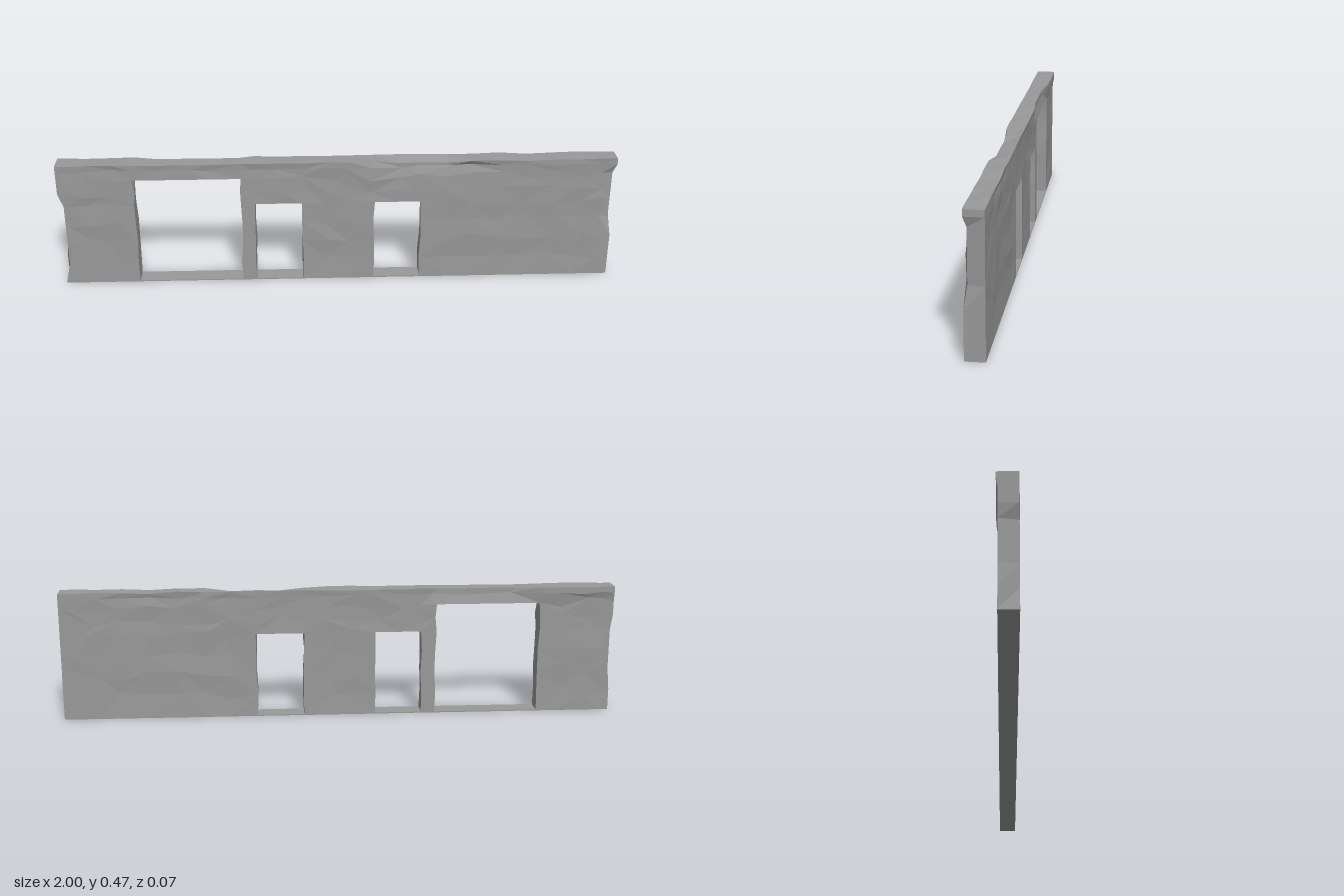
import * as THREE from 'three';

// Grid lines of the wall; openings start and end on them
const XS = [-1, -0.97, -0.9, -0.81, -0.73, -0.64, -0.54, -0.45, -0.35, -0.3, -0.215, -0.13, -0.04, 0.04, 0.13,
  0.215, 0.3, 0.39, 0.48, 0.58, 0.68, 0.78, 0.87, 0.95, 1];
const YS = [0, 0.004, 0.08, 0.16, 0.235, 0.31, 0.36, 0.41, 0.445, 0.47];
const OPENINGS = [
  { x0: -0.73, x1: -0.35, y1: 0.41 }, // wide window
  { x0: -0.3, x1: -0.13, y1: 0.31 },  // doorways
  { x0: 0.13, x1: 0.3, y1: 0.31 },
];
const NX = XS.length - 1, NY = YS.length - 1;

// Repeatable noise from -1 to 1
function noise(i, j, k) {
  const s = Math.sin(i * 127.1 + j * 311.7 + k * 74.7) * 43758.5453;
  return 2 * (s - Math.floor(s)) - 1;
}

function isSolid(i, j) {
  if (i < 0 || j < 0 || i >= NX || j >= NY) return false;
  const x = (XS[i] + XS[i + 1]) / 2, y = (YS[j] + YS[j + 1]) / 2;
  return !OPENINGS.some((o) => x > o.x0 && x < o.x1 && y > 0.004 && y < o.y1);
}

// Vertex of the rough wall; side 1 is the front, -1 the back
function wallPoint(i, j, side) {
  let x = XS[i], y = YS[j], z = side > 0 ? 0.035 : -0.03;
  const n = (k) => noise(i, j, k + side * 10);
  const inside = [[0, 0], [-1, 0], [0, -1], [-1, -1]].every(([a, b]) => isSolid(i + a, j + b));
  if (inside && j > 1) {
    x += 0.02 * n(1) * (i > 1 && i < NX - 1 ? 1 : 0);
    y += (j < 8 ? 0.018 : 0.006) * n(2);
    z -= side * 0.0025 * (n(3) + 0.6);
  } else if (!inside && j > 1 && j < NY && i > 0 && i < NX) {
    x += 0.004 * n(4); // worn jambs
  }
  // uneven top edge
  if (j === NY) {
    y -= 0.004 * Math.abs(n(5));
    if (Math.abs(x - 0.7) < 0.05) y -= 0.006;
    if (side > 0 && x > 0.2 && x < 0.45) y -= 0.009;
  }
  if (j >= NY - 1) {
    if (side > 0 && x > 0.12 && x < 0.47) z = 0.024;
    if (side < 0 && x < -0.65) z = -0.036;
    if (side < 0 && x > -0.65 && x < -0.3) z = -0.022;
  }
  // chipped end corners
  if (side > 0 && i === 0 && j > 1 && j < 6) x += 0.018;
  if (side < 0 && i === 0 && j > 2 && j < 6) x += 0.008;
  if (side > 0 && i === NX && j > 3 && j < 8) { x -= 0.012; z = 0.024; }
  return [x, y, z];
}

function wallGeometry() {
  const pos = [];
  const quad = (a, b, c, d, flip) =>
    (flip ? [a, b, d, b, c, d] : [a, b, c, a, c, d]).forEach((p) => pos.push(...p));
  for (let i = 0; i < NX; i++) {
    for (let j = 0; j < NY; j++) {
      if (!isSolid(i, j)) continue;
      const ring = [[i, j], [i + 1, j], [i + 1, j + 1], [i, j + 1]];
      const f = ring.map(([a, b]) => wallPoint(a, b, 1));
      const r = ring.map(([a, b]) => wallPoint(a, b, -1));
      quad(f[0], f[1], f[2], f[3], noise(i, j, 30) > 0);
      quad(r[1], r[0], r[3], r[2], noise(i, j, 31) > 0);
      // ends, top, base and reveals wherever the neighbour is empty
      [[0, -1], [1, 0], [0, 1], [-1, 0]].forEach(([di, dj], e) => {
        if (isSolid(i + di, j + dj)) return;
        const g = (e + 1) % 4;
        quad(f[e], r[e], r[g], f[g], false);
      });
    }
  }
  const geometry = new THREE.BufferGeometry();
  geometry.setAttribute('position', new THREE.Float32BufferAttribute(pos, 3));
  geometry.computeVertexNormals();
  return geometry;
}

export function createModel() {
  const stone = new THREE.MeshStandardMaterial({ color: 0x999999 });
  stone.name = 'grey stone';
  stone.flatShading = true;
  const wall = new THREE.Mesh(wallGeometry(), stone);
  wall.name = 'wall';
  const group = new THREE.Group();
  group.name = 'ruinedWall';
  group.add(wall);
  return group;
}
